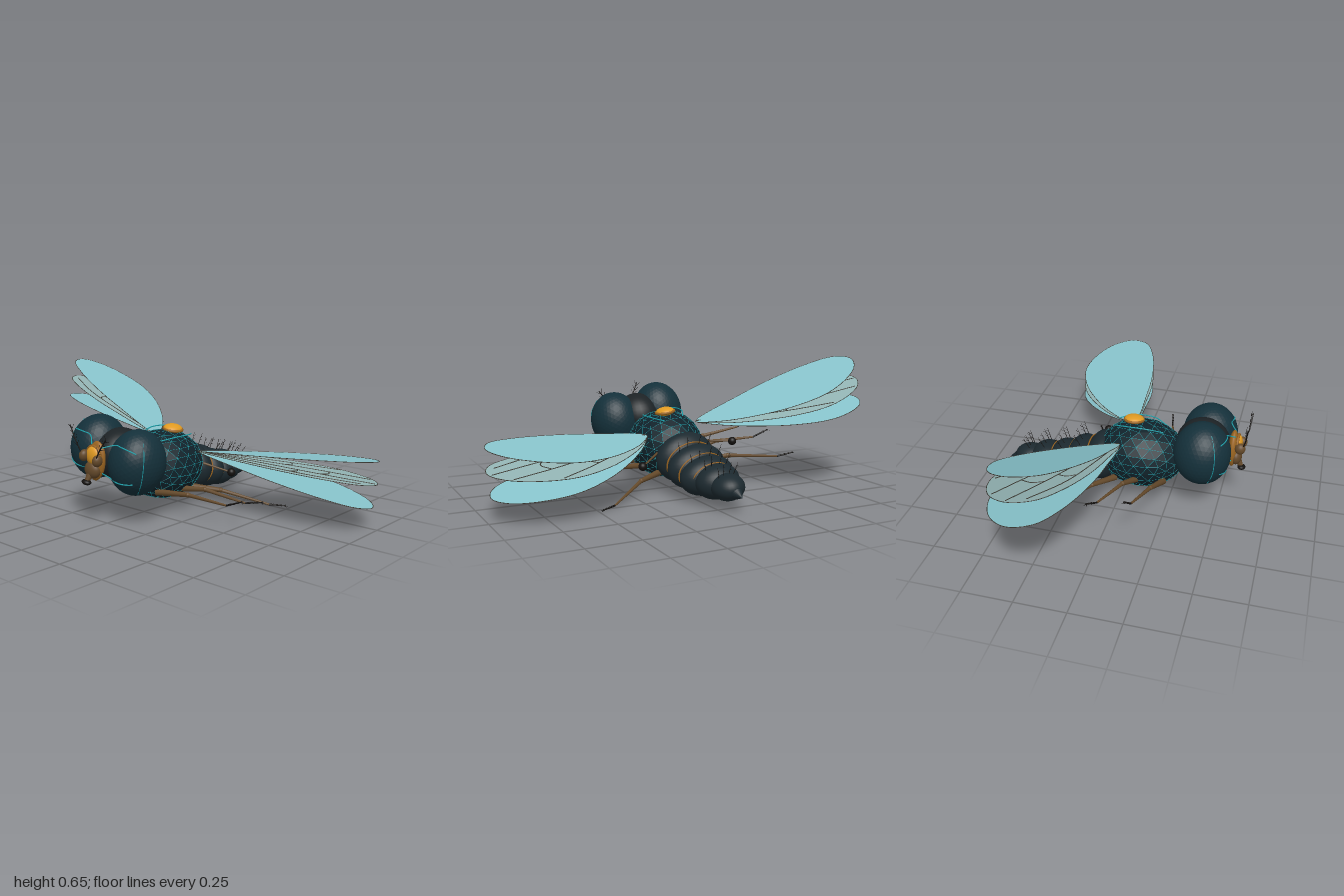
import * as THREE from 'three';
import { mergeGeometries, mergeVertices } from 'three/addons/utils/BufferGeometryUtils.js';

const mat = (color, extra = {}) => new THREE.MeshStandardMaterial({ color, ...extra });
const M = {
  eye: mat(0x14303a, { flatShading: true }),
  core: mat(0x1c2225),
  thorax: mat(0x10222a, { flatShading: true }),
  abdomen: mat(0x1c292f),
  cyan: mat(0x1fa3ad),
  gold: mat(0xe09a22),
  bronze: mat(0x9a6420),
  brown: mat(0x64492a),
  black: mat(0x14110f),
  wing: mat(0x88c4cc, { side: THREE.DoubleSide }),
  wingMid: mat(0x93b4b4, { side: THREE.DoubleSide }),
  vein: mat(0x3c3a33),
};
const V = (p) => new THREE.Vector3(...p);

function add(parent, name, geo, material, pos = [0, 0, 0]) {
  const m = new THREE.Mesh(geo, material);
  m.name = name;
  m.position.set(...pos);
  parent.add(m);
  return m;
}
const ball = (parent, name, material, pos, r) =>
  add(parent, name, new THREE.SphereGeometry(1, 28, 20).scale(...r), material, pos);

// Tapered rod between two points
function rod(a, b, ra, rb = ra, sides = 6) {
  const d = b.clone().sub(a);
  const g = new THREE.CylinderGeometry(rb, ra, d.length(), sides);
  g.applyQuaternion(new THREE.Quaternion().setFromUnitVectors(new THREE.Vector3(0, 1, 0), d.normalize()));
  const c = a.clone().add(b).multiplyScalar(0.5);
  return g.translate(c.x, c.y, c.z);
}
const tube = (pts, r, closed = false, n = 28) =>
  new THREE.TubeGeometry(new THREE.CatmullRomCurve3(pts.map(V), closed), n, r, 5, closed);

function buildHead(body) {
  ball(body, 'headCore', M.core, [0, 0.125, 0.4], [0.12, 0.125, 0.135]);
  for (const s of [1, -1]) {
    const eye = new THREE.IcosahedronGeometry(1, 7).scale(0.132, 0.157, 0.14);
    add(body, 'compoundEye', eye, M.eye, [s * 0.13, 0.125, 0.415]);
    // Glowing seam on the outer side of the eye and an arc over its front
    const onEye = (a, e) => [s * (0.13 + 0.133 * Math.cos(e) * Math.sin(a)),
      0.125 + 0.158 * Math.sin(e), 0.415 + 0.141 * Math.cos(e) * Math.cos(a)];
    add(body, 'eyeSeam', tube([-0.9, -0.4, 0, 0.4, 0.9].map((e) => onEye(1.0, e)), 0.002), M.cyan);
    for (const e of [0.62, -0.5])
      add(body, 'faceArc', tube([0.7, 0.35, 0, -0.4].map((a) => onEye(a, e * Math.cos(a * 0.8)))
        .concat([[s * 0.03, 0.125 + e * 0.1, 0.56]]), 0.003), M.cyan);
    // Antenna with a feathered bristle
    ball(body, 'antennaBase', M.brown, [s * 0.045, 0.135, 0.588], [0.022, 0.028, 0.026]);
    const tip = [s * 0.12, 0.265, 0.622];
    add(body, 'antennaBristle', tube([[s * 0.045, 0.14, 0.6], [s * 0.08, 0.2, 0.615], tip], 0.003), M.black);
    const barbs = [];
    for (let i = 0; i < 4; i++) {
      const p = V([s * (0.07 + 0.014 * i), 0.18 + 0.023 * i, 0.612]);
      barbs.push(rod(p, p.clone().add(V([s * 0.025, 0.012, 0.006])), 0.0015, 0.0008, 4));
      barbs.push(rod(p, p.clone().add(V([-s * 0.008, 0.03, 0.004])), 0.0015, 0.0008, 4));
    }
    add(body, 'antennaBarbs', mergeGeometries(barbs), M.black);
  }
  // Face plate, medallion and mouthparts
  ball(body, 'facePlate', M.bronze, [0, 0.115, 0.55], [0.055, 0.095, 0.025]);
  ball(body, 'medallion', M.gold, [0, 0.145, 0.572], [0.042, 0.044, 0.022]);
  add(body, 'medallionRim', new THREE.TorusGeometry(0.044, 0.007, 8, 32), M.bronze, [0, 0.145, 0.572]);
  ball(body, 'snout', M.brown, [0, 0.075, 0.568], [0.045, 0.042, 0.03]);
  add(body, 'proboscis', rod(V([0, 0.07, 0.575]), V([0, 0.025, 0.597]), 0.018, 0.012, 10), M.brown);
  ball(body, 'proboscisTip', M.black, [0, 0.02, 0.6], [0.025, 0.013, 0.02]);
}

function buildThorax(body) {
  const at = [0.005, 0.02, 0.09];
  const shell = new THREE.IcosahedronGeometry(1, 3).scale(0.185, 0.172, 0.225);
  add(body, 'thorax', shell, M.thorax, at);
  // Fine lattice along the facet edges
  const bare = shell.clone();
  bare.deleteAttribute('normal');
  bare.deleteAttribute('uv');
  const p = new THREE.WireframeGeometry(mergeVertices(bare, 1e-4)).attributes.position;
  const rods = [];
  for (let i = 0; i < p.count; i += 2)
    rods.push(rod(new THREE.Vector3().fromBufferAttribute(p, i),
      new THREE.Vector3().fromBufferAttribute(p, i + 1), 0.0011, 0.0011, 4));
  add(body, 'thoraxLattice', mergeGeometries(rods), M.cyan, at);
  // Dorsal gem in its rim
  ball(body, 'dorsalGem', M.gold, [0, 0.197, 0.04], [0.046, 0.022, 0.05]);
  add(body, 'gemRim', new THREE.TorusGeometry(0.047, 0.007, 8, 36).rotateX(Math.PI / 2), M.bronze, [0, 0.195, 0.04]);
  for (const s of [1, -1])
    add(body, 'dorsalTrace', tube([[s * 0.05, 0.165, 0.2], [s * 0.085, 0.185, 0.13],
      [s * 0.085, 0.185, 0.02], [s * 0.05, 0.17, -0.05]], 0.003), M.cyan);
}

function buildAbdomen(body) {
  // z, y, half width, half height
  const segs = [[-0.11, -0.02, 0.155, 0.125], [-0.22, -0.047, 0.152, 0.108], [-0.32, -0.073, 0.14, 0.095],
    [-0.42, -0.082, 0.11, 0.083], [-0.51, -0.09, 0.078, 0.063]];
  segs.forEach(([z, y, w, h], i) => {
    ball(body, 'abdomenSegment', M.abdomen, [0, y, z], [w, h, 0.088]);
    const [z2, y2, w2, h2] = segs[i + 1] || [-0.6, -0.112, 0.035, 0.03];
    const ring = new THREE.TorusGeometry(1, 0.035, 6, 48).scale((w + w2) * 0.425, (h + h2) * 0.425, 0.1);
    add(body, 'abdomenRing', ring, M.bronze, [0, (y + y2) / 2, (z + z2) / 2]).rotation.x = -0.15;
    // Dorsal bristles
    const hairs = [];
    for (const k of [-0.5, -0.2, 0.2, 0.5]) {
      const a = V([w * k, y + h * 0.95 * Math.sqrt(1 - k * k), z]);
      const b = a.clone().add(V([k * 0.03, 0.06, -0.03]));
      hairs.push(rod(a, b, 0.002, 0.0008, 4));
      for (const t of [0.4, 0.7]) {
        const c = a.clone().lerp(b, t);
        hairs.push(rod(c, c.clone().add(V([0, 0.006, -0.016])), 0.001, 0.0007, 4));
      }
    }
    if (i) add(body, 'abdomenBristles', mergeGeometries(hairs), M.black);
  });
  add(body, 'tailSpike', rod(V([0, -0.098, -0.555]), V([0, -0.116, -0.63]), 0.05, 0.001, 20), M.abdomen);
}

function buildWing(body, s, dihedral, middle) {
  const wing = new THREE.Group();
  wing.name = 'wing';
  wing.position.set(s * 0.145, 0.115, 0);
  wing.rotation.set(-0.13, 0, s * dihedral, 'ZYX');
  body.add(wing);
  // Outline as span and distance behind the root
  const outline = [[0, 0], [0.29, -0.01], [0.5, 0.01], [0.7, 0.06], [0.83, 0.13], [0.865, 0.23], [0.81, 0.33],
    [0.69, 0.4], [0.53, 0.425], [0.35, 0.365], [0.16, 0.225], [0.05, 0.1]];
  const curve = new THREE.CatmullRomCurve3(outline.map(([u, v]) => new THREE.Vector3(s * u, v, 0)), true);
  const shape = new THREE.Shape(curve.getPoints(72).slice(0, -1).map((q) => new THREE.Vector2(q.x, q.y)));
  add(wing, 'wingMembrane', new THREE.ShapeGeometry(shape).rotateX(-Math.PI / 2), middle ? M.wingMid : M.wing);
  const line = (pts, r, closed) => tube(pts.map(([u, v]) => [s * u, 0, -v]), r, closed, closed ? 72 : 20);
  add(wing, 'wingEdge', line(outline, 0.0016, true), M.vein);
  if (!middle) return;
  const veins = [
    [[0, 0], [0.3, 0.03], [0.6, 0.08], [0.82, 0.17]],
    [[0, 0], [0.3, 0.09], [0.6, 0.17], [0.85, 0.25]],
    [[0, 0], [0.25, 0.13], [0.5, 0.25], [0.78, 0.34]],
    [[0, 0], [0.2, 0.17], [0.4, 0.31], [0.58, 0.41]],
    [[0.5, 0.06], [0.52, 0.1], [0.5, 0.145]],
    [[0.6, 0.17], [0.62, 0.22], [0.59, 0.28]],
    [[0.38, 0.19], [0.4, 0.25], [0.37, 0.29]],
  ];
  add(wing, 'wingVeins', mergeGeometries(veins.map((v) => line(v, 0.003))), M.vein);
}

function buildLeg(body, s, path) {
  const p = path.map(([x, y, z]) => V([s * x, y, z]));
  const leg = new THREE.Group();
  leg.name = 'leg';
  body.add(leg);
  add(leg, 'femur', rod(p[0], p[1], 0.017, 0.011, 10), M.brown);
  ball(leg, 'knee', M.brown, p[1].toArray(), [0.012, 0.012, 0.012]);
  add(leg, 'tibia', rod(p[1], p[2], 0.01, 0.005, 8), M.brown);
  // Jointed foot with claws
  const foot = [rod(p[2], p[3], 0.005, 0.003)];
  for (let i = 1; i < 5; i++) {
    const c = p[2].clone().lerp(p[3], i / 4);
    foot.push(new THREE.SphereGeometry(0.005, 8, 6).translate(c.x, c.y, c.z));
  }
  for (const k of [-1, 1]) foot.push(rod(p[3], p[3].clone().add(V([s * 0.012, -0.004, k * 0.008])), 0.002, 0.001, 4));
  add(leg, 'foot', mergeGeometries(foot), M.black);
}

export function createModel() {
  const model = new THREE.Group();
  model.name = 'fly';
  // The whole insect banks slightly to its left
  const body = new THREE.Group();
  body.name = 'body';
  body.position.set(-0.03, 0.2, 0);
  body.rotation.z = -0.165;
  model.add(body);
  buildHead(body);
  buildThorax(body);
  buildAbdomen(body);
  const legs = [
    [[0.11, -0.07, 0.23], [0.28, -0.03, 0.2], [0.48, -0.02, 0.155], [0.55, 0.02, 0.14]],
    [[0.13, -0.07, 0.1], [0.27, -0.035, 0.06], [0.47, -0.05, -0.01], [0.545, -0.024, -0.04]],
    [[0.11, -0.09, -0.02], [0.25, -0.08, -0.1], [0.46, -0.113, -0.24], [0.53, -0.103, -0.28]],
  ];
  for (const s of [1, -1]) {
    [0.245, 0.12, -0.01].forEach((d, i) => buildWing(body, s, d, i === 1));
    legs.forEach((path) => buildLeg(body, s, path));
    // Balancing knob behind the wing
    add(body, 'halterStalk', rod(V([s * 0.13, 0.03, -0.08]), V([s * 0.255, 0.007, -0.16]), 0.006, 0.004), M.brown);
    ball(body, 'halterKnob', M.black, [s * 0.255, 0.007, -0.16], [0.021, 0.021, 0.021]);
  }
  return model;
}
